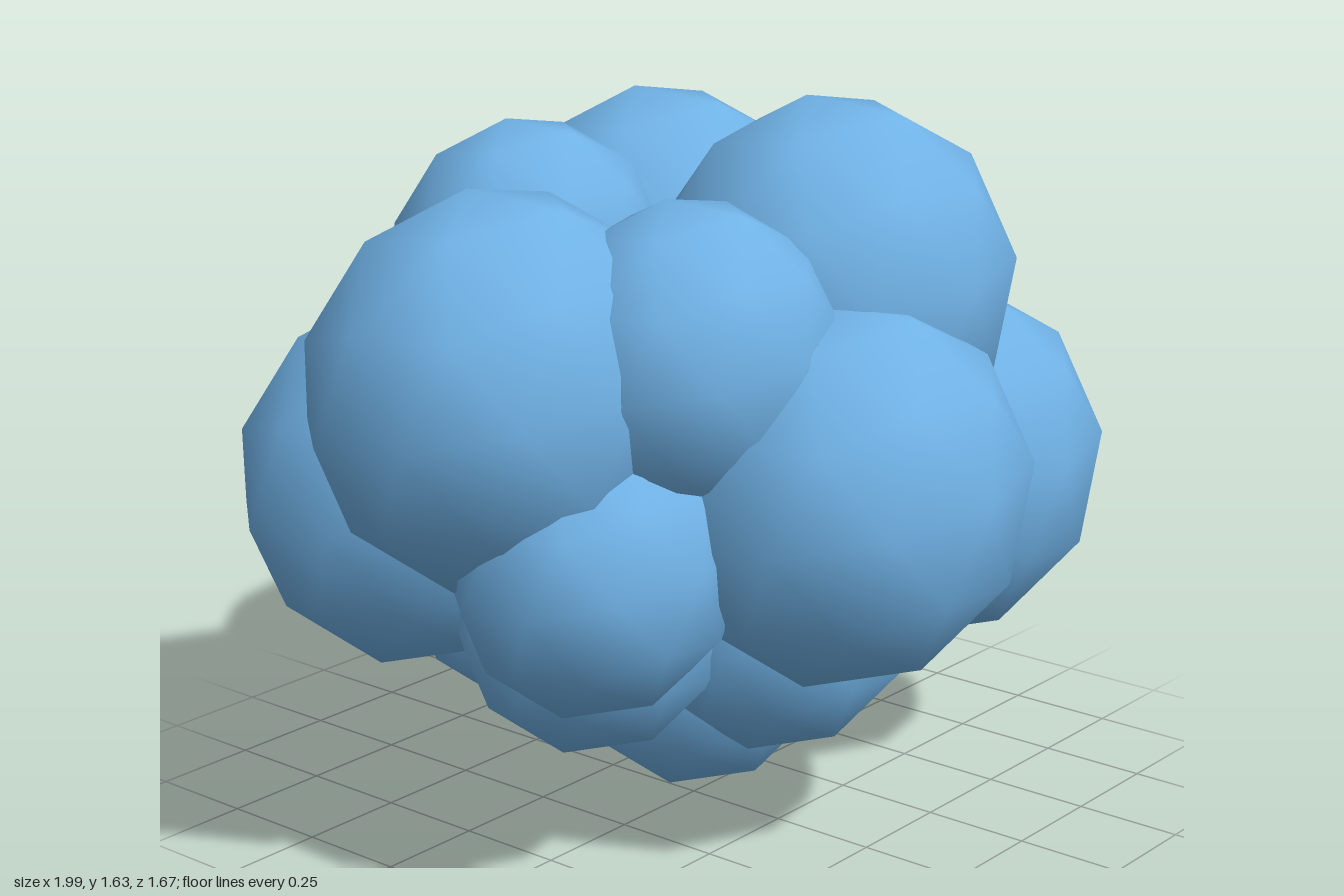
import * as THREE from 'three';

// Each puff: x, y, z, size
const PUFFS = {
  frontPuff: [-0.024, 0.835, 0.445, 0.45],
  frontLeftPuff: [0.567, 0.74, 0.255, 0.45],
  topPuff: [0.25, 1.205, 0.2, 0.455],
  rightUpperPuff: [-0.565, 1.087, -0.06, 0.455],
  topBackPuff: [-0.2, 1.27, -0.31, 0.335],
  topFrontPuff: [-0.275, 1.14, 0.215, 0.365],
  backLeftUpperPuff: [0.348, 1.153, -0.383, 0.455],
  leftUpperPuff: [0.68, 0.995, -0.115, 0.305],
  leftLowerPuff: [0.585, 0.665, -0.22, 0.34],
  backRightPuff: [-0.4, 0.79, -0.452, 0.455],
  rightLowerPuff: [-0.505, 0.725, 0.15, 0.34],
  backLeftLowerPuff: [0.335, 0.695, -0.51, 0.345],
  backLowerPuff: [-0.03, 0.465, -0.47, 0.335],
  bottomPuff: [0.103, 0.338, -0.06, 0.355],
  frontLowerPuff: [0.09, 0.485, 0.18, 0.35],
  rightBottomPuff: [-0.3, 0.545, -0.03, 0.35],
};

export function createModel() {
  const group = new THREE.Group();
  group.name = 'puffCluster';
  const material = new THREE.MeshStandardMaterial({ color: 0x70b2e6 });

  // Coarse smooth ball with a corner at its top, slightly flattened and tilted
  const ball = new THREE.IcosahedronGeometry(1, 1);
  ball.rotateX(-Math.atan((1 + Math.sqrt(5)) / 2)).rotateY(Math.PI / 2);
  ball.scale(1, 0.955, 0.865).rotateX(-0.12).rotateZ(0.09);

  for (const [name, [x, y, z, size]] of Object.entries(PUFFS)) {
    const puff = new THREE.Mesh(ball, material);
    puff.name = name;
    puff.position.set(x, y, z);
    puff.scale.setScalar(size);
    group.add(puff);
  }

  return group;
}
